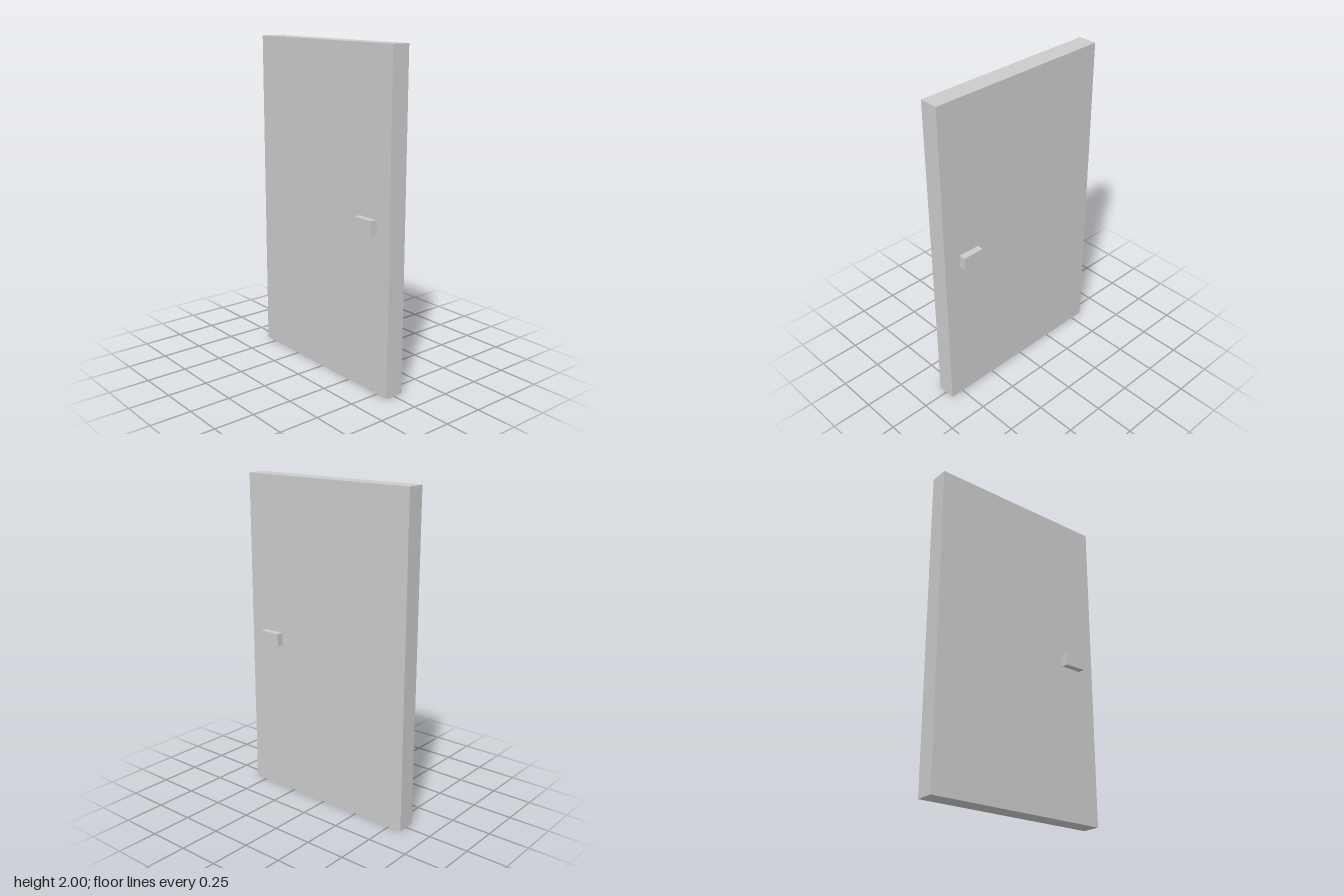
import * as THREE from 'three';

export function createModel() {
  const model = new THREE.Group();
  model.name = 'door';
  const material = new THREE.MeshStandardMaterial({ color: 0xcccccc, flatShading: true });

  const addBox = (name, size, position) => {
    const mesh = new THREE.Mesh(new THREE.BoxGeometry(...size), material);
    mesh.name = name;
    mesh.position.set(...position);
    model.add(mesh);
  };

  // Door slab
  const thickness = 0.116;
  addBox('doorPanel', [1.167, 2, thickness], [0, 1, 0]);

  // One block handle on each face
  const handleDepth = 0.041;
  for (const [name, side] of [['frontHandle', 1], ['backHandle', -1]]) {
    addBox(name, [0.138, 0.08, handleDepth], [0.407, 1, side * (thickness + handleDepth) / 2]);
  }

  return model;
}
